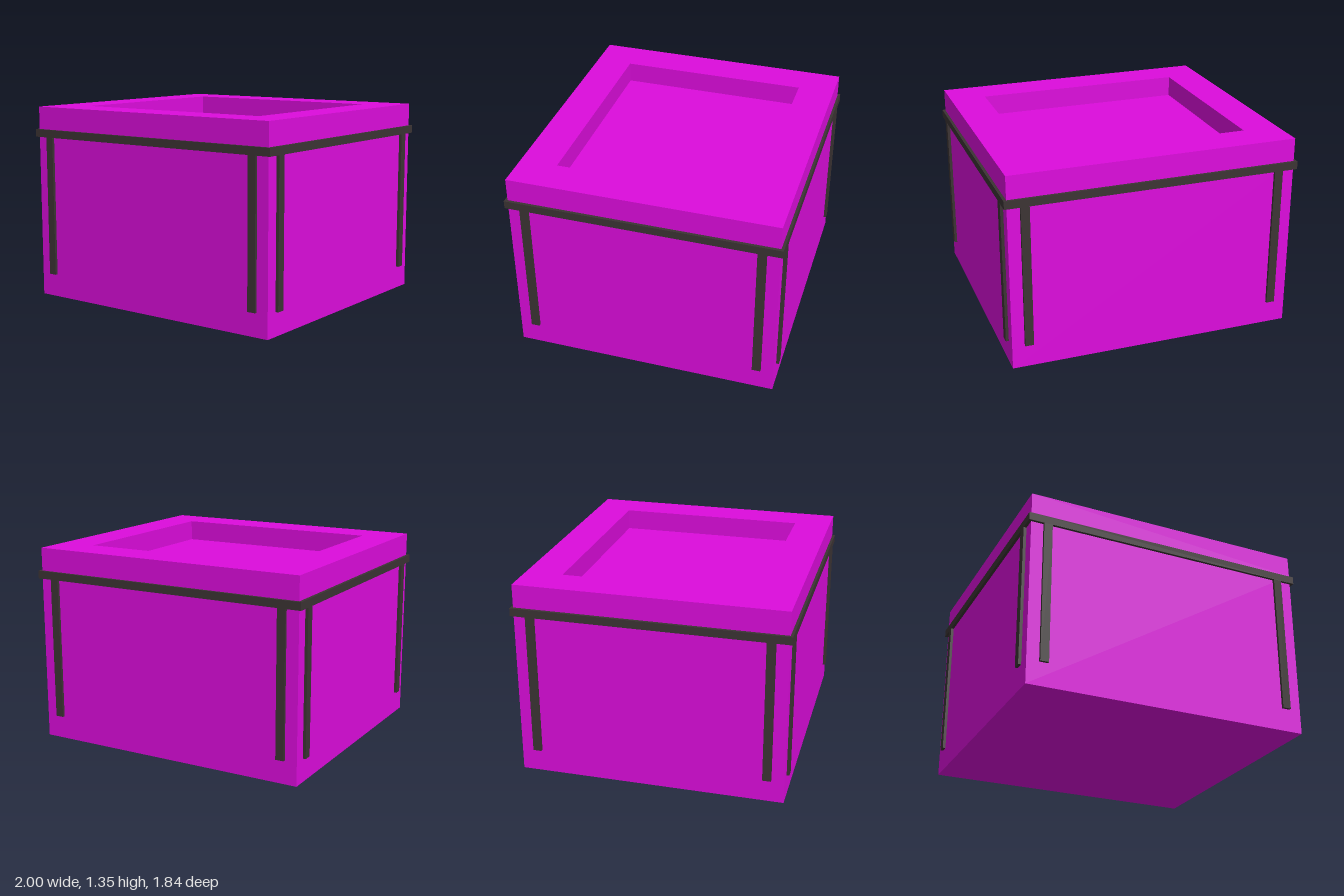
import * as THREE from 'three';

const HX = 0.98, HZ = 0.904;      // half width and depth of the body
const OX = 1.0, OZ = 0.922;       // outer half size of the trim
const TOP = 1.35, FLOOR = 1.206;  // rim height and recess floor height
const BAND_LOW = 1.138, BAND_HIGH = 1.192;
const STRAP_LOW = 0.16, STRAP_W = 0.058;

// Rectangular ring lying flat between two heights
function frameGeometry(ox, oz, ix, iz, y0, y1) {
  const rect = (T, x, z) => new T([[-x, -z], [x, -z], [x, z], [-x, z]]
    .map(([a, b]) => new THREE.Vector2(a, b)));
  const shape = rect(THREE.Shape, ox, oz);
  shape.holes.push(rect(THREE.Path, ix, iz));
  return new THREE.ExtrudeGeometry(shape, { depth: y1 - y0, bevelEnabled: false })
    .rotateX(-Math.PI / 2).translate(0, y0, 0);
}

export function createModel() {
  const group = new THREE.Group();
  const bodyMat = new THREE.MeshStandardMaterial({ color: 0xdd0cdd });
  const trimMat = new THREE.MeshStandardMaterial({ color: 0x3c3434 });

  const add = (name, geometry, material) => {
    const mesh = new THREE.Mesh(geometry, material);
    mesh.name = name;
    group.add(mesh);
    return mesh;
  };

  // Solid body, with a raised rim that leaves a shallow recess on top
  add('body', new THREE.BoxGeometry(HX * 2, FLOOR, HZ * 2).translate(0, FLOOR / 2, 0), bodyMat);
  add('rim', frameGeometry(HX, HZ, 0.73, 0.65, FLOOR, TOP), bodyMat);

  // Band running around the body
  add('band', frameGeometry(OX, OZ, HX, HZ, BAND_LOW, BAND_HIGH), trimMat);

  // Two vertical straps hanging from the band on every side
  const h = BAND_LOW - STRAP_LOW, y = STRAP_LOW + h / 2;
  const frontStrap = new THREE.BoxGeometry(STRAP_W, h, OZ - HZ);
  const sideStrap = new THREE.BoxGeometry(OX - HX, h, STRAP_W);
  for (const sx of [-1, 1]) {
    for (const sz of [-1, 1]) {
      const end = sz > 0 ? 'front' : 'back', side = sx > 0 ? 'Left' : 'Right';
      add(`${end}Strap${side}`, frontStrap, trimMat).position.set(sx * 0.867, y, sz * (OZ + HZ) / 2);
      add(`side${side}Strap${sz > 0 ? 'Front' : 'Back'}`, sideStrap, trimMat)
        .position.set(sx * (OX + HX) / 2, y, sz * 0.79);
    }
  }
  return group;
}
